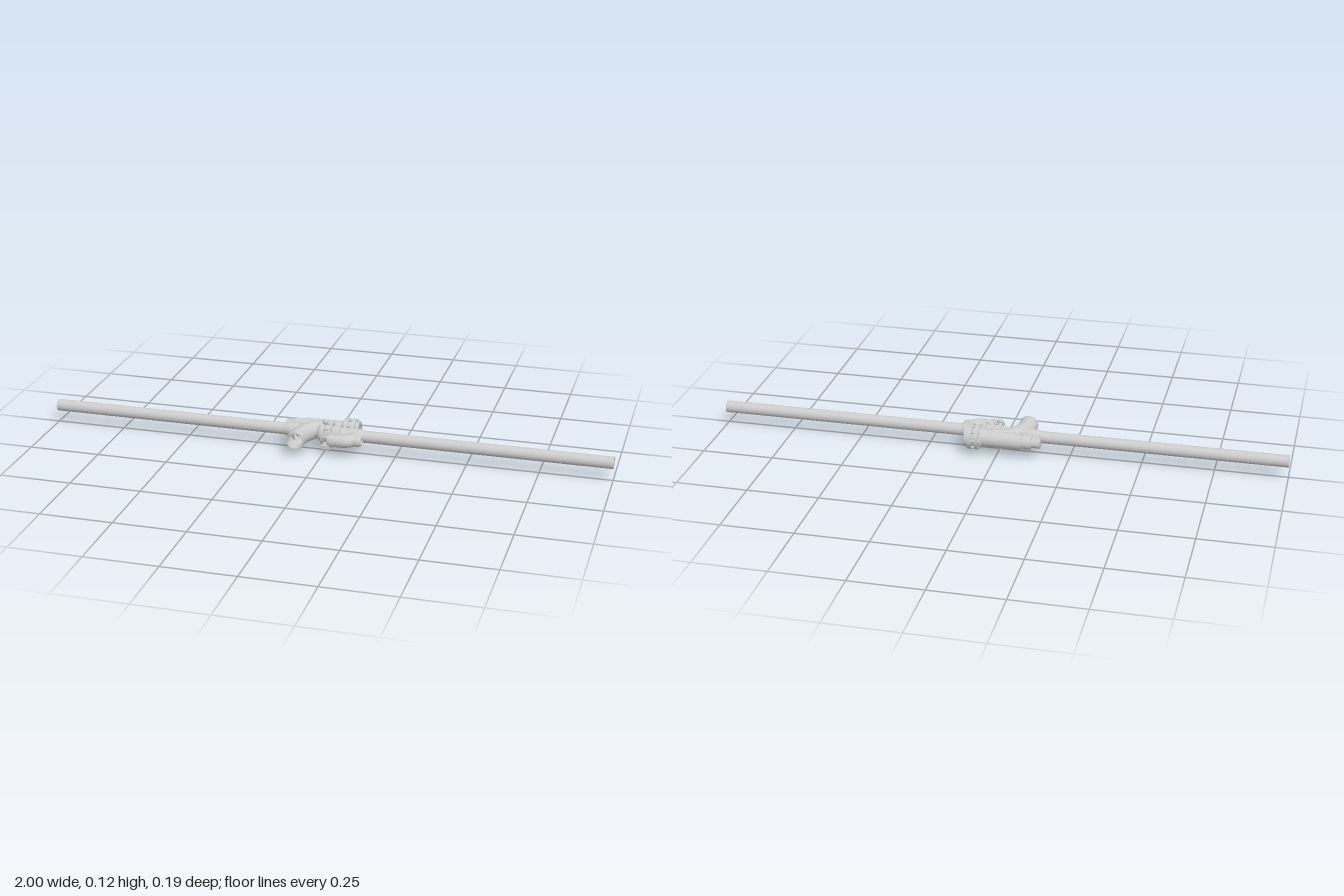
import * as THREE from 'three';

const Y = 0.06; // height of all pipe axes
const mat = new THREE.MeshStandardMaterial({ color: 0xcccccc, side: THREE.DoubleSide });

function add(group, name, geo, x = 0, y = 0, z = 0) {
  const m = new THREE.Mesh(geo, mat);
  m.name = name;
  m.position.set(x, y, z);
  group.add(m);
  return m;
}

// Turned part along x; profile is a list of [x, radius]
function turned(group, name, profile, z, y = Y) {
  const pts = [];
  profile.forEach(([x, r], i) => {
    pts.push(new THREE.Vector2(r, x));
    // doubled points keep the steps crisp
    if (i > 0 && i < profile.length - 1) pts.push(new THREE.Vector2(r, x + 1e-5));
  });
  const geo = new THREE.LatheGeometry(pts, 32);
  geo.rotateZ(-Math.PI / 2);
  return add(group, name, geo, 0, y, z);
}

// Bent open pipe through points [x, z] at axis height
function bent(group, name, pts, r, y = Y) {
  const curve = new THREE.CatmullRomCurve3(pts.map(([x, z]) => new THREE.Vector3(x, y, z)));
  return add(group, name, new THREE.TubeGeometry(curve, 36, r, 28, false), 0, 0, 0);
}

// Ring of bolt heads on a flange facing along x
function bolts(group, name, x, z, r, length, count) {
  for (let i = 0; i < count; i++) {
    const a = (i / count) * Math.PI * 2;
    const geo = new THREE.CylinderGeometry(0.0045, 0.0045, length, 6);
    geo.rotateZ(Math.PI / 2);
    add(group, name, geo, x, Y + r * Math.sin(a), z + r * Math.cos(a));
  }
}

export function createModel() {
  const model = new THREE.Group();

  // Long straight pipe
  turned(model, 'mainPipe', [[-1, 0.018], [-1, 0.021], [1, 0.021], [1, 0.018], [-1, 0.018]], -0.005, 0.062);

  // Collars where the fittings meet the pipe
  turned(model, 'leftCollar', [[0.09, 0.021], [0.09, 0.025], [0.12, 0.025], [0.135, 0.021]], -0.005, 0.062);
  turned(model, 'rightCollar', [[-0.15, 0.021], [-0.13, 0.025], [-0.09, 0.025], [-0.09, 0.021]], -0.005, 0.062);

  // Large elbow opening to the front
  bent(model, 'elbow', [[0.06, -0.048], [0.01, -0.046], [-0.035, -0.032], [-0.068, 0.005],
    [-0.083, 0.05], [-0.085, 0.093]], 0.032);
  bent(model, 'elbowLining', [[-0.068, 0.005], [-0.083, 0.05], [-0.085, 0.093]], 0.028);
  const rim = new THREE.RingGeometry(0.028, 0.032, 28);
  add(model, 'elbowRim', rim, -0.085, Y, 0.093);

  // Straight rear body, stepped at its far end
  turned(model, 'rearBody', [[-0.155, 0], [-0.155, 0.018], [-0.125, 0.018], [-0.125, 0.025],
    [-0.09, 0.025], [-0.09, 0.029], [0.05, 0.029], [0.05, 0]], -0.053);
  // Oblique branches between the pipe and its neighbours
  bent(model, 'rightBranch', [[-0.14, -0.005], [-0.115, 0.015], [-0.085, 0.038]], 0.02);
  bent(model, 'rearBranch', [[-0.145, -0.04], [-0.1, -0.03], [-0.03, -0.01]], 0.021);

  // Flanged union on the rear body
  turned(model, 'rearUnion', [[0.045, 0.029], [0.055, 0.037], [0.06, 0.037], [0.06, 0.043],
    [0.072, 0.043], [0.072, 0.036], [0.084, 0.036], [0.084, 0.043], [0.098, 0.043],
    [0.098, 0.036], [0.11, 0.036], [0.11, 0.025], [0.06, 0.025], [0.06, 0]], -0.05);
  bolts(model, 'rearUnionBolt', 0.078, -0.05, 0.039, 0.045, 8);

  // Central valve body with two flanges
  turned(model, 'valveBody', [[-0.03, 0.021], [-0.018, 0.03], [-0.01, 0.032], [-0.01, 0.042],
    [0, 0.042], [0, 0.034], [0.016, 0.034], [0.016, 0.04], [0.026, 0.04], [0.026, 0.03],
    [0.045, 0.03], [0.045, 0.035], [0.055, 0.035], [0.055, 0.028], [0.08, 0.021]], -0.005);
  bolts(model, 'valveBolt', 0.008, -0.005, 0.037, 0.04, 8);

  // Valve stem with ball knob
  add(model, 'stem', new THREE.CylinderGeometry(0.006, 0.008, 0.03, 16), 0, 0.092, 0);
  add(model, 'knob', new THREE.SphereGeometry(0.01, 20, 14), 0, 0.105, 0);

  // Drain plug below the valve
  const plug = [[0, 0], [0.005, 0], [0.005, 0.003], [0.003, 0.006], [0.004, 0.01], [0.008, 0.013], [0.008, 0.03]];
  add(model, 'drainPlug', new THREE.LatheGeometry(plug.map(([r, y]) => new THREE.Vector2(r, y)), 16));

  // Front side branch: capped run that turns into the main pipe
  turned(model, 'frontRun', [[0.022, 0], [0.022, 0.018], [0.032, 0.02], [0.032, 0.024],
    [0.045, 0.024], [0.045, 0.021], [0.07, 0.021]], 0.052);
  bent(model, 'frontBranch', [[0.055, 0.052], [0.085, 0.049], [0.105, 0.032], [0.122, 0]], 0.022);
  // Stub leaving the front branch
  turned(model, 'frontStub', [[0.085, 0.018], [0.125, 0.02], [0.138, 0.016], [0.138, 0.011], [0.1, 0.011], [0.1, 0]], 0.036);

  // Small mounting lug
  add(model, 'lug', new THREE.BoxGeometry(0.03, 0.014, 0.02), 0.01, 0.028, 0.037);
  return model;
}
